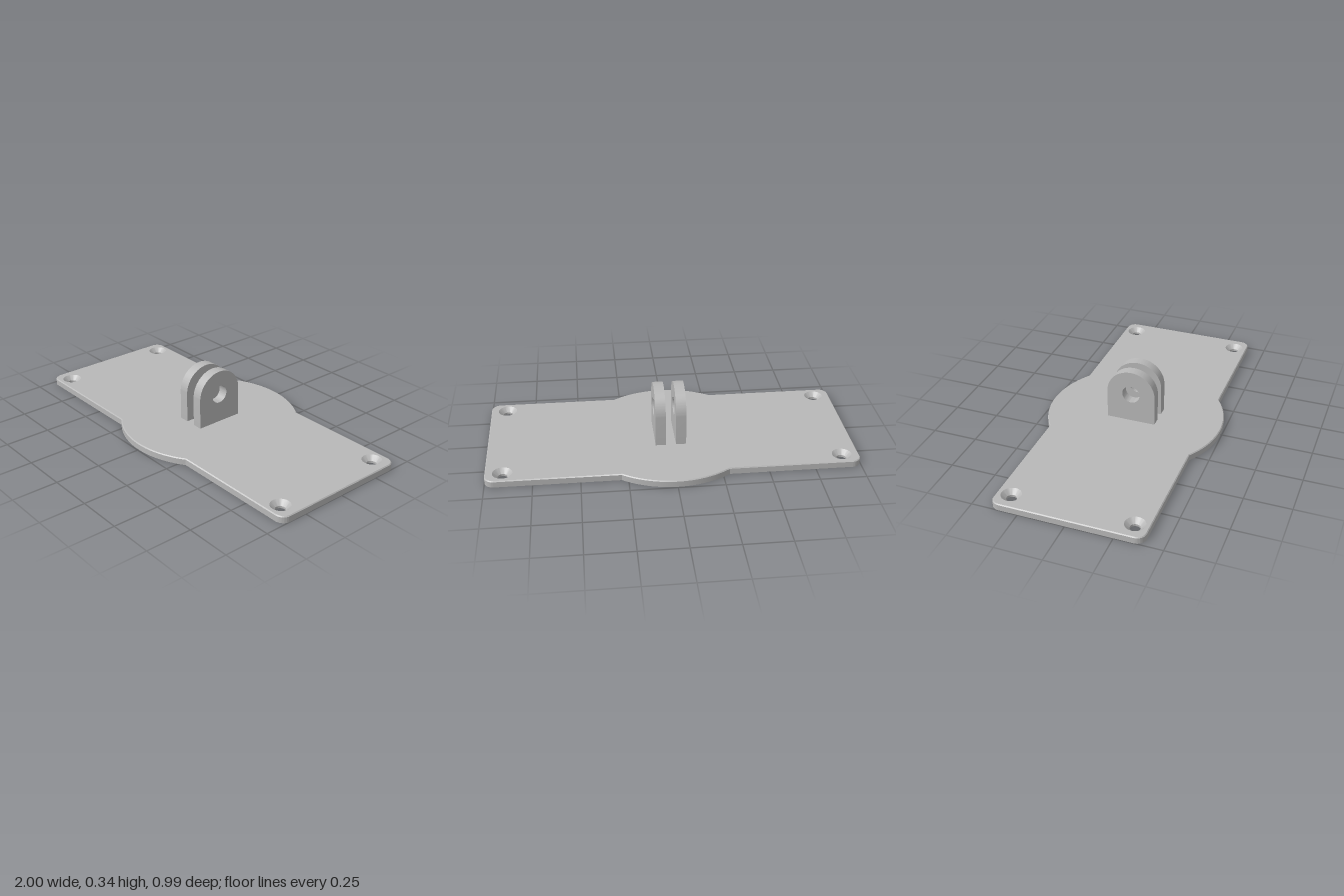
import * as THREE from 'three';
import { toCreasedNormals } from 'three/addons/utils/BufferGeometryUtils.js';

const H = 0.037, CHAMFER = 0.005;
const HOLE_X = 0.907, HOLE_Z = 0.326, HOLE_R = 0.027, SINK_R = 0.053;

// Rounded rectangle merged with a central disc, shrunk by an inset
function outline(inset) {
  const hx = 1 - inset, hz = 0.402 - inset, r = 0.05 - inset, R = 0.493 - inset;
  const a = Math.asin(hz / R), q = Math.PI / 2;
  const s = new THREE.Shape();
  s.absarc(0, 0, R, -Math.PI + a, -a, false);
  s.absarc(hx - r, -hz + r, r, -q, 0, false);
  s.absarc(hx - r, hz - r, r, 0, q, false);
  s.absarc(0, 0, R, a, Math.PI - a, false);
  s.absarc(-hx + r, hz - r, r, q, 2 * q, false);
  s.absarc(-hx + r, -hz + r, r, 2 * q, 3 * q, false);
  return s.getPoints(16);
}

const corners = [[1, 1], [1, -1], [-1, 1], [-1, -1]].map(([x, z]) => [x * HOLE_X, z * HOLE_Z]);

// Flat plate face with the four screw openings
function face(inset, holeRadius) {
  const s = new THREE.Shape(outline(inset));
  for (const [x, z] of corners) {
    s.holes.push(new THREE.Path().absarc(x, z, holeRadius, 0, Math.PI * 2, true));
  }
  return new THREE.ShapeGeometry(s, 16);
}

// Plate rim with a fine chamfer along the top
function rim() {
  const pos = [], index = [];
  const rings = [[0, 0], [H - CHAMFER, 0], [H, CHAMFER]];
  let n = 0;
  for (const [y, inset] of rings) {
    const pts = outline(inset);
    n = pts.length;
    for (const p of pts) pos.push(p.x, y, -p.y);
  }
  for (let k = 0; k < rings.length - 1; k++) {
    for (let i = 0; i < n; i++) {
      const j = (i + 1) % n, a = k * n + i, b = k * n + j;
      index.push(a, b, b + n, a, b + n, a + n);
    }
  }
  const g = new THREE.BufferGeometry();
  g.setAttribute('position', new THREE.Float32BufferAttribute(pos, 3));
  g.setIndex(index);
  return toCreasedNormals(g, 0.5);
}

// Upright lug with a round top and a pivot hole
function lug(width) {
  const r = 0.137, cy = 0.203;
  const s = new THREE.Shape();
  s.moveTo(-r, H - 0.002);
  s.lineTo(r, H - 0.002);
  s.absarc(0, cy, r, 0, Math.PI, false);
  s.closePath();
  s.holes.push(new THREE.Path().absarc(0, cy, 0.05, 0, Math.PI * 2, true));
  const g = new THREE.ExtrudeGeometry(s, { depth: width, bevelEnabled: false, curveSegments: 32 });
  g.translate(0, 0, -width / 2);
  g.rotateY(Math.PI / 2);
  return toCreasedNormals(g, 0.5);
}

export function createModel() {
  const group = new THREE.Group();
  const grey = new THREE.MeshStandardMaterial({ color: 0xb8b8b8 });
  grey.name = 'grey';
  const add = (geometry, name, x = 0, y = 0, z = 0) => {
    const m = new THREE.Mesh(geometry, grey);
    m.name = name;
    m.position.set(x, y, z);
    group.add(m);
  };

  // Base plate
  add(face(CHAMFER, SINK_R).rotateX(-Math.PI / 2), 'plateTop', 0, H, 0);
  add(face(0, HOLE_R).rotateX(Math.PI / 2), 'plateBottom');
  add(rim(), 'plateRim');

  // Countersunk screw holes
  const profile = [[SINK_R, H], [HOLE_R, 0.012], [HOLE_R, 0]].map(([r, y]) => new THREE.Vector2(r, y));
  const hole = toCreasedNormals(new THREE.LatheGeometry(profile, 32), 0.5);
  for (const [x, z] of corners) add(hole, 'screwHole', x, 0, z);

  // Pair of mounting lugs
  const lugGeometry = lug(0.056);
  add(lugGeometry, 'leftLug', 0.056);
  add(lugGeometry, 'rightLug', -0.056);
  return group;
}
